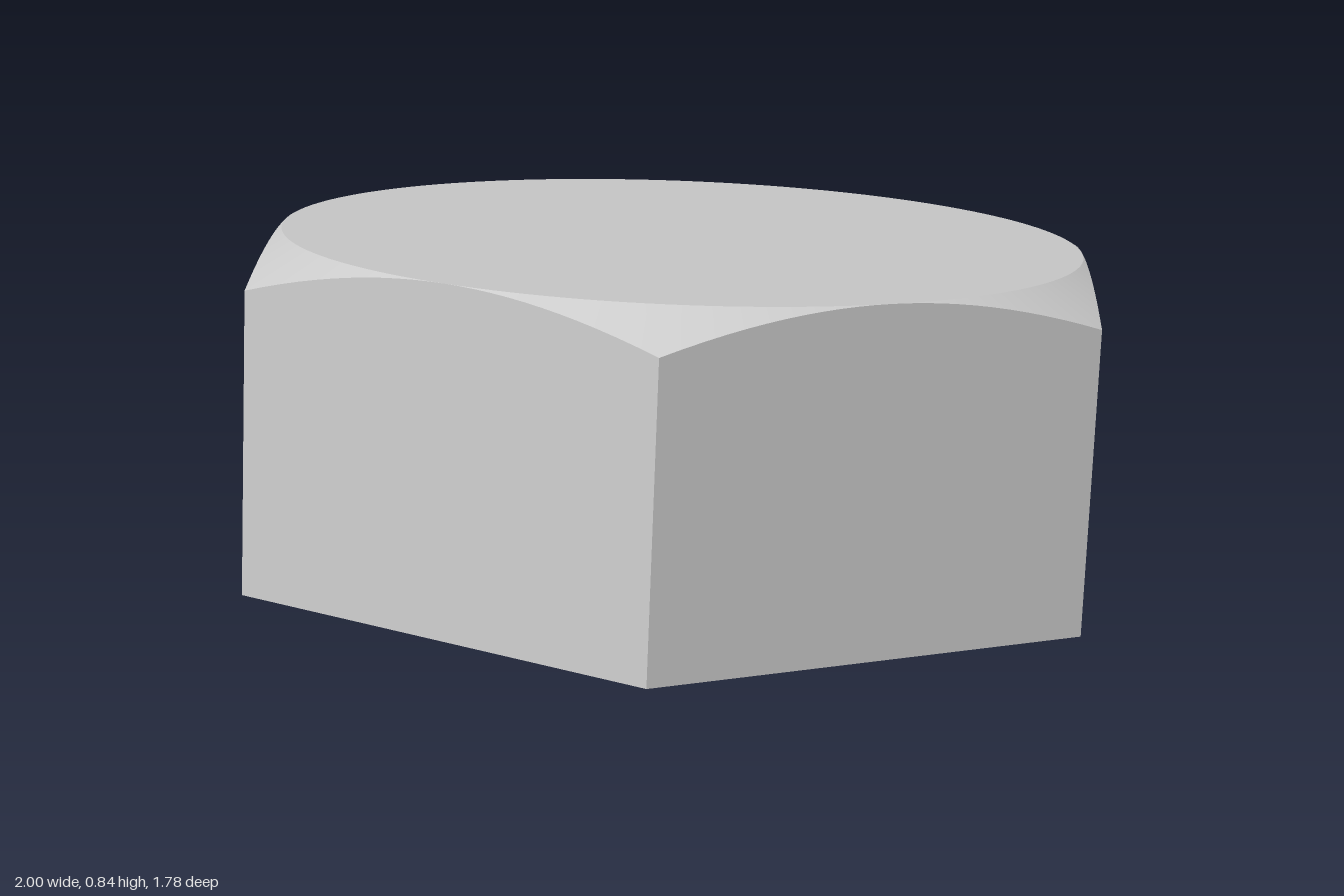
import * as THREE from 'three';

const FLAT = Math.sqrt(3) / 2;      // centre to flat (corners at radius 1)
const HEIGHT = 0.7175;
const CHAMFER = Math.PI / 6;        // slope of the conical chamfer
const TILT = THREE.MathUtils.degToRad(4.14);
const PER_SIDE = 24, N = PER_SIDE * 6;

const at = (a, r, y) => new THREE.Vector3(r * Math.cos(a), y, -r * Math.sin(a));
const angle = (i) => (i / N) * Math.PI * 2;

// Point where the side wall meets the chamfer cone, at step i
function rim(i, y) {
  const a = angle(i);
  const r = FLAT / Math.cos((i % PER_SIDE) / PER_SIDE * Math.PI / 3 - Math.PI / 6);
  return at(a, r, y ?? HEIGHT - (r - FLAT) * Math.tan(CHAMFER));
}
const inner = (i) => at(angle(i), FLAT, HEIGHT);

// Collects triangles from each step around the axis
function sweep(step) {
  const points = [];
  for (let i = 0; i < N; i++) points.push(...step(i, i + 1));
  const geometry = new THREE.BufferGeometry().setFromPoints(points);
  geometry.computeVertexNormals();
  return geometry;
}
const quad = (a, b, c, d) => [a, b, c, a, c, d];

export function createModel() {
  const group = new THREE.Group();
  group.name = 'hexHead';
  const material = new THREE.MeshStandardMaterial({ color: 0xcccccc });
  const head = new THREE.Group();
  head.name = 'tiltedHead';
  const add = (name, geometry) => {
    const mesh = new THREE.Mesh(geometry, material);
    mesh.name = name;
    head.add(mesh);
  };

  // Flat round top and flat hexagonal underside
  add('topFace', sweep((i, j) => [new THREE.Vector3(0, HEIGHT, 0), inner(i), inner(j)]));
  add('underside', sweep((i, j) => [new THREE.Vector3(), rim(j, 0), rim(i, 0)]));

  // Six flats, with arched upper edges
  add('sideFlats', sweep((i, j) => quad(rim(i, 0), rim(j, 0), rim(j), rim(i))));

  // Conical chamfer cutting the corners, with smooth cone normals
  const chamfer = sweep((i, j) => quad(inner(i), rim(i), rim(j), inner(j)));
  const { position, normal } = chamfer.attributes;
  const v = new THREE.Vector3();
  for (let k = 0; k < position.count; k++) {
    v.fromBufferAttribute(position, k).setY(0).setLength(Math.sin(CHAMFER)).setY(Math.cos(CHAMFER));
    normal.setXYZ(k, v.x, v.y, v.z);
  }
  add('chamfer', chamfer);

  // Whole head leans back, resting on its rear lower edge
  head.rotation.x = -TILT;
  head.position.set(0, FLAT * Math.sin(TILT), HEIGHT * Math.sin(TILT) / 2);
  group.add(head);
  return group;
}
